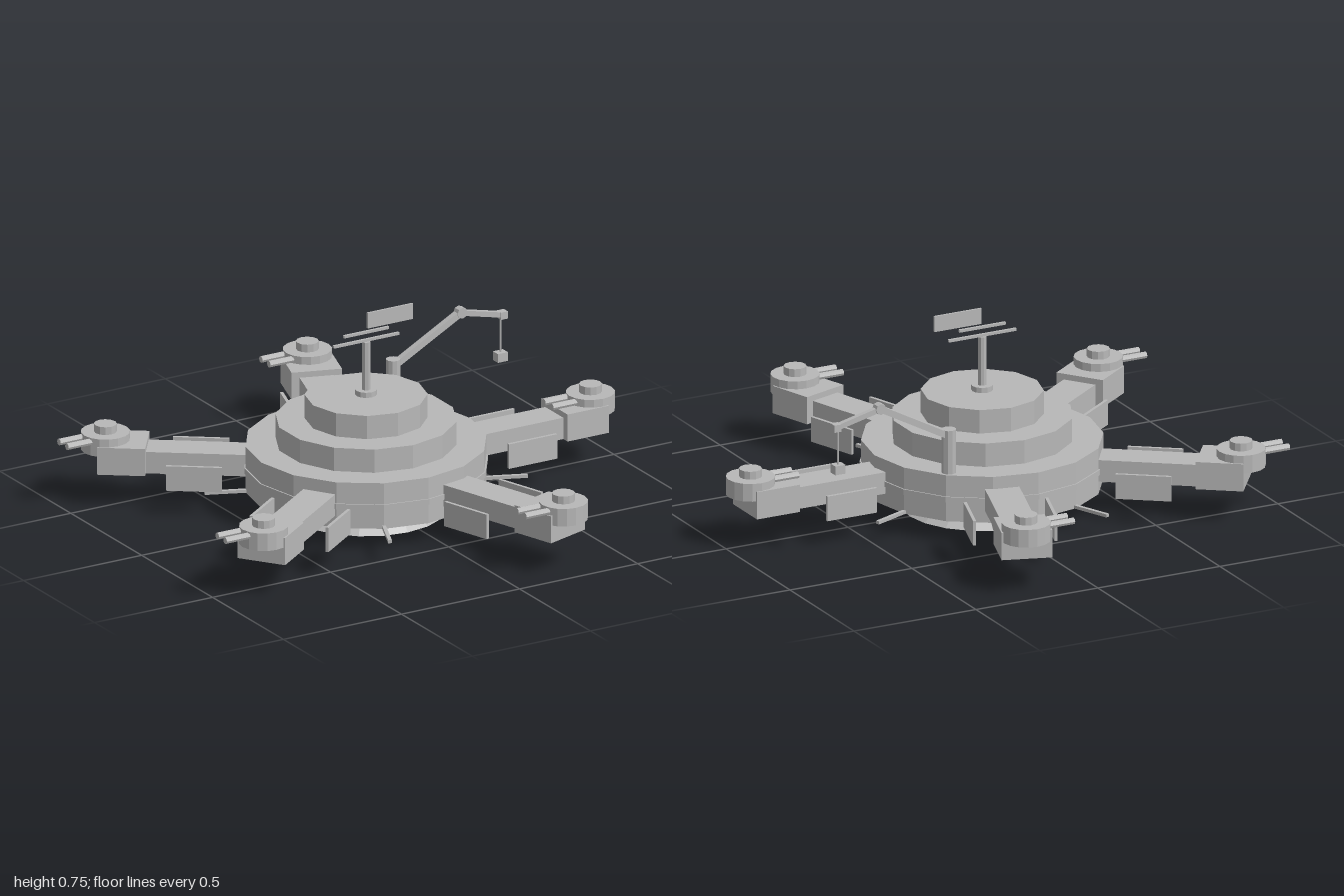
import * as THREE from 'three';

export function createModel() {
  const grey = new THREE.MeshStandardMaterial({ color: 0xb8b8b8, flatShading: true });
  grey.name = 'hull grey';

  const model = new THREE.Group();
  model.name = 'starStation';
  const station = new THREE.Group();
  station.name = 'station';
  station.position.x = -0.05;
  model.add(station);

  const add = (parent, name, geometry, x = 0, y = 0, z = 0) => {
    const mesh = new THREE.Mesh(geometry, grey);
    mesh.name = name;
    mesh.position.set(x, y, z);
    parent.add(mesh);
    return mesh;
  };
  // Box and cylinder given by their lower and upper heights
  const box = (parent, name, x0, x1, y0, y1, depth, z = 0) =>
    add(parent, name, new THREE.BoxGeometry(x1 - x0, y1 - y0, depth), (x0 + x1) / 2, (y0 + y1) / 2, z);
  const drum = (parent, name, rTop, rBottom, y0, y1, sides, x = 0, z = 0) =>
    add(parent, name, new THREE.CylinderGeometry(rTop, rBottom, y1 - y0, sides), x, (y0 + y1) / 2, z);

  // Stepped central hull on a flared foot
  drum(station, 'foot', 0.2, 0.297, 0, 0.085, 20);
  drum(station, 'lowerHull', 0.442, 0.442, 0.083, 0.26, 16);
  drum(station, 'hullBand', 0.447, 0.447, 0.157, 0.178, 16);
  drum(station, 'middleTier', 0.332, 0.332, 0.26, 0.35, 14);
  drum(station, 'upperTier', 0.224, 0.224, 0.35, 0.44, 12);

  // Mast with aerial bars and flag
  drum(station, 'mastBase', 0.04, 0.04, 0.44, 0.46, 12);
  drum(station, 'mast', 0.016, 0.016, 0.46, 0.645, 8);
  box(station, 'longAerial', -0.138, 0.138, 0.645, 0.655, 0.01);
  box(station, 'shortAerial', -0.095, 0.095, 0.676, 0.686, 0.01);
  box(station, 'flag', 0.005, 0.197, 0.695, 0.755, 0.008);

  // Five arms, each with side panels and a gun turret
  for (let i = 0; i < 5; i++) {
    const angle = (i * Math.PI * 2) / 5;
    const arm = new THREE.Group();
    arm.name = 'arm';
    arm.rotation.y = angle;
    station.add(arm);
    box(arm, 'armBeam', 0.38, 0.82, 0.13, 0.213, 0.128);
    box(arm, 'turretPlatform', 0.797, 0.972, 0.13, 0.235, 0.188);
    for (const side of [-1, 1]) box(arm, 'sidePanel', 0.512, 0.716, 0.1, 0.195, 0.012, side * 0.15);

    // Turrets all aim towards -x
    const turret = new THREE.Group();
    turret.name = 'turret';
    turret.position.set(0.95 * Math.cos(angle), 0, -0.95 * Math.sin(angle));
    station.add(turret);
    drum(turret, 'turretDrum', 0.09, 0.09, 0.197, 0.265, 16);
    drum(turret, 'turretCap', 0.042, 0.042, 0.265, 0.295, 12);
    for (const side of [-1, 1]) {
      const barrel = add(turret, 'barrel', new THREE.CylinderGeometry(0.013, 0.013, 0.14, 8), -0.11, 0.248, side * 0.028);
      barrel.rotation.z = Math.PI / 2;
    }
  }

  // Thin docking spokes under the rim
  for (let i = 0; i < 8; i++) {
    const spoke = new THREE.Group();
    spoke.name = 'dockingSpoke';
    spoke.rotation.y = ((i + 0.5) * Math.PI) / 4;
    station.add(spoke);
    box(spoke, 'spokeBar', 0.41, 0.593, 0.084, 0.096, 0.014);
  }

  // Crane standing on the hull deck
  const crane = new THREE.Group();
  crane.name = 'crane';
  crane.position.z = -0.287;
  model.add(crane);
  const boom = (name, x0, y0, x1, y1, thick) => {
    const length = Math.hypot(x1 - x0, y1 - y0);
    const mesh = add(crane, name, new THREE.BoxGeometry(length, thick, thick), (x0 + x1) / 2, (y0 + y1) / 2);
    mesh.rotation.z = Math.atan2(y1 - y0, x1 - x0);
  };
  drum(crane, 'cranePost', 0.027, 0.027, 0.26, 0.427, 10, 0.237);
  boom('lowerBoom', 0.237, 0.4, 0.52, 0.552, 0.024);
  boom('upperBoom', 0.52, 0.552, 0.705, 0.508, 0.02);
  const joint = add(crane, 'elbowJoint', new THREE.CylinderGeometry(0.021, 0.021, 0.03, 8), 0.522, 0.553);
  joint.rotation.x = Math.PI / 2;
  box(crane, 'boomTip', 0.685, 0.714, 0.495, 0.523, 0.03);
  drum(crane, 'cable', 0.004, 0.004, 0.36, 0.505, 6, 0.692);
  box(crane, 'hookBlock', 0.67, 0.712, 0.332, 0.366, 0.036);

  return model;
}
